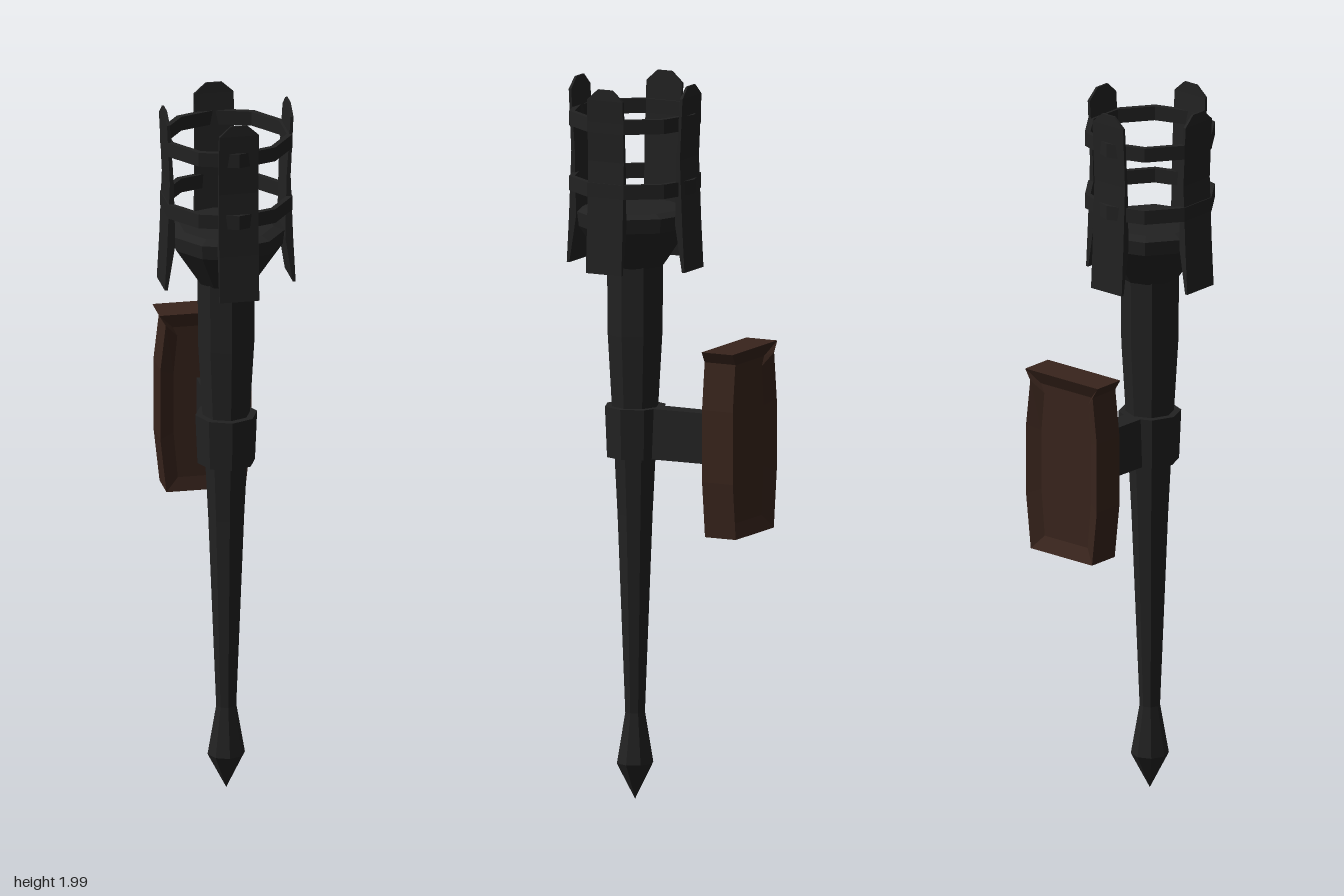
import * as THREE from 'three';

const AXIS_Z = 0.095; // the torch stands in front of its wall plate

function part(name, geometry, color) {
  const material = new THREE.MeshStandardMaterial({ color, flatShading: true });
  const mesh = new THREE.Mesh(geometry, material);
  mesh.name = name;
  return mesh;
}

function lathe(points, sides) {
  return new THREE.LatheGeometry(points.map(([r, y]) => new THREE.Vector2(r, y)), sides);
}

// Bent iron slat: rows of [y, inner radius, outer radius, half width]
function slatGeometry() {
  const rows = [
    [1.49, 0.174, 0.182, 0.055], [1.62, 0.153, 0.175, 0.055], [1.8, 0.157, 0.168, 0.055],
    [1.97, 0.168, 0.176, 0.055], [2.0, 0.169, 0.175, 0.022],
  ];
  const geo = new THREE.BoxGeometry(2, 1, 1, 1, rows.length - 1, 1);
  const p = geo.attributes.position;
  for (let i = 0; i < p.count; i++) {
    const [y, rin, rout, w] = rows[Math.round((p.getY(i) + 0.5) * (rows.length - 1))];
    p.setXYZ(i, p.getX(i) * w, y, p.getZ(i) > 0 ? rout : rin);
  }
  geo.computeVertexNormals();
  return geo;
}

// Wall plate: loops of one outline, with a sunken panel on both faces
function plateGeometry() {
  const outline = [
    [0.11, 0.775], [0.127, 0.93], [0.127, 1.13], [0.112, 1.26], [0.13, 1.29],
    [-0.13, 1.29], [-0.112, 1.26], [-0.127, 1.13], [-0.127, 0.93], [-0.11, 0.775],
  ];
  const cy = 1.032;
  // [z, x scale, y scale] from the front panel round the rim to the back panel
  const loops = [
    [-0.188, 0, 0], [-0.188, 0.7, 0.85], [-0.18, 1, 1],
    [-0.275, 1, 1], [-0.255, 0.7, 0.85], [-0.255, 0, 0],
  ];
  const pos = [], idx = [], n = outline.length;
  for (const [z, sx, sy] of loops)
    for (const [x, y] of outline) pos.push(x * sx, cy + (y - cy) * sy, z);
  for (let k = 0; k < loops.length - 1; k++)
    for (let i = 0; i < n; i++) {
      const a = k * n + i, b = k * n + (i + 1) % n;
      idx.push(a, a + n, b, b, a + n, b + n);
    }
  const geo = new THREE.BufferGeometry();
  geo.setAttribute('position', new THREE.Float32BufferAttribute(pos, 3));
  geo.setIndex(idx);
  geo.computeVertexNormals();
  return geo;
}

export function createModel() {
  const iron = 0x222222, wood = 0x38241c;
  const model = new THREE.Group();
  model.name = 'wallTorch';
  const torch = new THREE.Group();
  torch.name = 'torch';
  torch.position.z = AXIS_Z;
  model.add(torch);

  // Tapered handle with a pointed foot
  torch.add(part('handle', lathe([
    [0, 0.01], [0.052, 0.11], [0.028, 0.25], [0.05, 0.8], [0.062, 1.03], [0.078, 1.3], [0.08, 1.5],
  ], 8), iron));

  // Flared bowl with a closed top
  torch.add(part('bowl', lathe([
    [0, 1.49], [0.08, 1.49], [0.155, 1.6], [0.16, 1.64], [0.13, 1.65], [0, 1.65],
  ], 10), iron));

  // Two hoops and four slats form the basket
  for (const y of [1.72, 1.9]) {
    const h = 0.02;
    torch.add(part('hoop', lathe([
      [0.166, y - h], [0.182, y - h], [0.182, y + h], [0.166, y + h], [0.166, y - h],
    ], 10), iron));
  }
  for (let i = 0; i < 4; i++) {
    const slat = part('slat', slatGeometry(), iron);
    slat.rotation.y = i * Math.PI / 2;
    torch.add(slat);
  }

  // Collar round the handle
  torch.add(part('collar', lathe([
    [0.05, 0.96], [0.08, 0.96], [0.086, 1.1], [0.05, 1.1],
  ], 8), iron));

  // Arm narrowing towards the wall plate
  const armGeo = new THREE.BoxGeometry(0.062, 0.14, 0.25);
  const p = armGeo.attributes.position;
  for (let i = 0; i < p.count; i++) if (p.getZ(i) < 0) p.setX(i, p.getX(i) * 0.8);
  const arm = part('arm', armGeo, iron);
  arm.position.set(0, 1.03, -0.065);
  model.add(arm);

  model.add(part('wallPlate', plateGeometry(), wood));
  return model;
}
